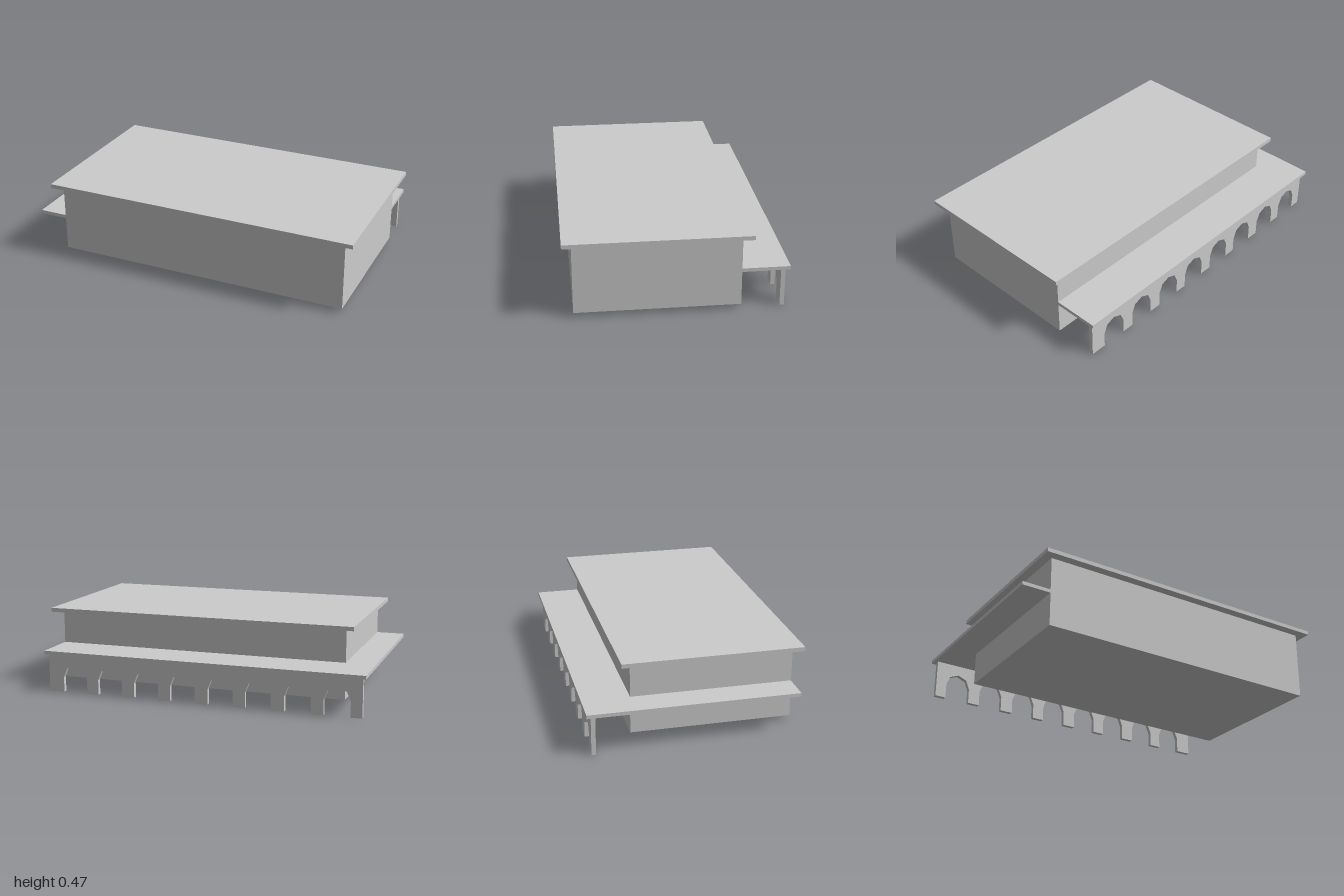
import * as THREE from 'three';

const material = new THREE.MeshStandardMaterial({ color: 0xcccccc, flatShading: true });

// Box given by its lower and upper corners
function block(name, [x0, y0, z0], [x1, y1, z1]) {
  const mesh = new THREE.Mesh(new THREE.BoxGeometry(x1 - x0, y1 - y0, z1 - z0), material);
  mesh.position.set((x0 + x1) / 2, (y0 + y1) / 2, (z0 + z1) / 2);
  mesh.name = name;
  return mesh;
}

// Wall standing on piers, with a row of faceted round arches open at the ground
function arcade() {
  const left = -0.98, right = 0.924, top = 0.227;
  const radius = 0.076, spring = 0.09, segments = 4;
  const shape = new THREE.Shape();
  shape.moveTo(right, 0);
  shape.lineTo(right, top);
  shape.lineTo(left, top);
  shape.lineTo(left, 0);
  for (let i = 0; i < 8; i++) {
    const center = -0.838 + Math.floor(i / 2) * 0.4555 + (i % 2) * 0.225;
    shape.lineTo(center - radius, 0);
    for (let k = 0; k <= segments; k++) {
      const a = Math.PI * (1 - k / segments);
      shape.lineTo(center + radius * Math.cos(a), spring + radius * Math.sin(a));
    }
    shape.lineTo(center + radius, 0);
  }
  shape.closePath();
  const geometry = new THREE.ExtrudeGeometry(shape, { depth: 0.025, bevelEnabled: false });
  const mesh = new THREE.Mesh(geometry, material);
  mesh.position.z = -0.6;
  mesh.name = 'arcade';
  return mesh;
}

export function createModel() {
  const model = new THREE.Group();
  model.name = 'arcadedBuilding';
  model.add(
    block('mainHall', [-0.828, 0.03, -0.355], [0.942, 0.444, 0.572]),
    block('roof', [-0.882, 0.444, -0.411], [1, 0.468, 0.625]),
    // Terrace slab wraps the back and one side of the hall
    block('terraceBack', [-1, 0.227, -0.625], [0.942, 0.248, -0.355]),
    block('terraceSide', [-1, 0.227, -0.355], [-0.828, 0.248, 0.57]),
    arcade()
  );
  return model;
}
